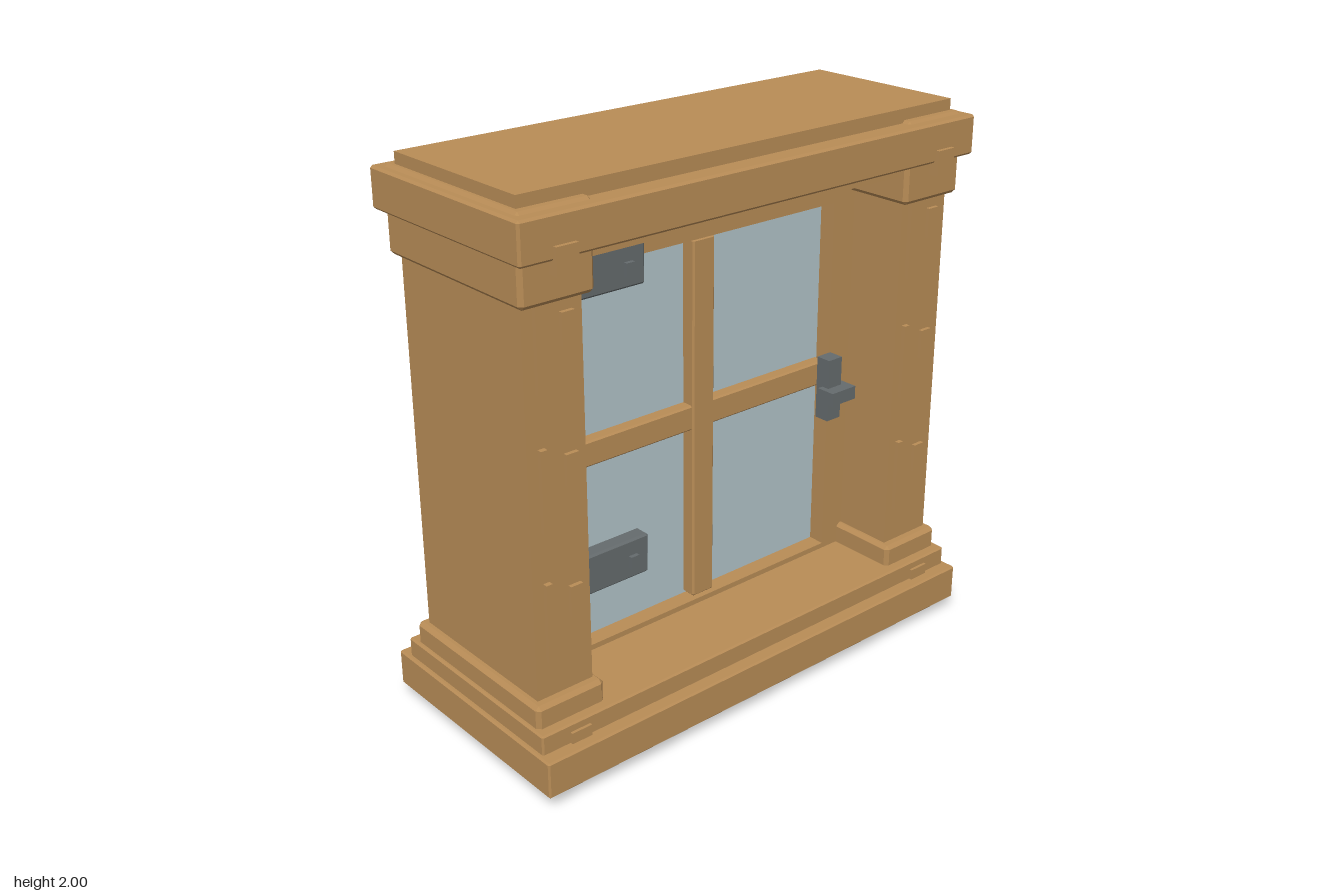
import * as THREE from 'three';
import { ConvexGeometry } from 'three/addons/geometries/ConvexGeometry.js';

// Box with chamfered edges, centred on its own origin
function chamferBox(w, h, d, c) {
  const pts = [];
  for (const x of [-1, 1]) for (const y of [-1, 1]) for (const z of [-1, 1]) {
    const [a, b, e] = [w / 2, h / 2, d / 2];
    pts.push(new THREE.Vector3(x * a, y * (b - c), z * (e - c)));
    pts.push(new THREE.Vector3(x * (a - c), y * b, z * (e - c)));
    pts.push(new THREE.Vector3(x * (a - c), y * (b - c), z * e));
  }
  return new ConvexGeometry(pts);
}

export function createModel() {
  const model = new THREE.Group();
  model.name = 'window';
  const wood = new THREE.MeshStandardMaterial({ name: 'wood', color: 0xb88c56 });
  const glass = new THREE.MeshStandardMaterial({ name: 'glass', color: 0xb2c4c9 });
  const iron = new THREE.MeshStandardMaterial({ name: 'iron', color: 0x656b6d });

  // Adds a box given its extents along each axis, optionally chamfered
  function block(name, material, [x0, x1], [y0, y1], [z0, z1], chamfer = 0) {
    const size = [x1 - x0, y1 - y0, z1 - z0];
    const geometry = chamfer ? chamferBox(...size, chamfer) : new THREE.BoxGeometry(...size);
    const mesh = new THREE.Mesh(geometry, material);
    mesh.name = name;
    mesh.position.set((x0 + x1) / 2, (y0 + y1) / 2, (z0 + z1) / 2);
    model.add(mesh);
  }
  const span = (half) => [-half, half];
  const sided = (s, a, b) => (s > 0 ? [a, b] : [-b, -a]);

  // Stepped sill
  block('bottomRail', wood, span(0.7), [0.008, 0.1], span(0.33), 0.008);
  block('plinth', wood, span(0.975), [0.045, 0.18], span(0.445), 0.006);
  block('sillStep', wood, span(0.96), [0.1, 0.25], span(0.395), 0.006);

  // Head beam and lintel
  block('headBeam', wood, span(0.92), [1.765, 2], span(0.32));
  block('lintel', wood, span(0.968), [1.81, 1.95], span(0.395), 0.008);

  // Posts with base, capital and pegs
  for (const s of [-1, 1]) {
    block('post', wood, sided(s, 0.7, 0.92), [0, 1.8], span(0.32));
    block('postBase', wood, sided(s, 0.677, 0.947), [0.034, 0.33], span(0.357), 0.014);
    block('capital', wood, sided(s, 0.672, 0.945), [1.667, 1.96], span(0.357), 0.014);
    block('lintelPeg', wood, sided(s, 0.77, 0.85), [1.765, 1.855], [0.37, 0.41]);
    block('sillPeg', wood, sided(s, 0.77, 0.85), [0.13, 0.22], [0.37, 0.406]);
    // Raised grain strips and pegs up the front
    const stripX = s > 0 ? 0.742 : -0.868;
    const pegX = s > 0 ? 0.85 : -0.76;
    for (let i = 0; i < 3; i++) {
      const y = 0.605 + i * 0.46;
      block('grainStrip', wood, [stripX - 0.012, stripX + 0.012], [y - 0.14, y + 0.14], [0.31, 0.338]);
      const py = 0.65 + i * 0.46;
      block('postPeg', wood, [pegX - 0.024, pegX + 0.024], [py - 0.054, py + 0.054], [0.31, 0.335]);
    }
  }

  // Sash frame
  const sashZ = span(0.09);
  for (const s of [-1, 1]) block('sashStile', wood, sided(s, 0.6, 0.71), [0.2, 1.733], sashZ);
  block('sashTopRail', wood, span(0.6), [1.635, 1.733], sashZ);
  block('sashBottomRail', wood, span(0.6), [0.2, 0.27], sashZ);

  // Glazing bars and pane
  block('verticalBar', wood, [-0.052, 0.045], [0.275, 1.63], span(0.078), 0.006);
  block('horizontalBar', wood, span(0.598), [0.937, 1.03], span(0.07), 0.006);
  block('pane', glass, span(0.605), [0.265, 1.64], span(0.025));

  // Hinges with rivets
  for (const y of [0.61, 1.648]) {
    block('hinge', iron, [-0.7, -0.345], [y - 0.073, y + 0.073], [0.125, 0.185], 0.007);
    for (const x of [-0.645, -0.415]) {
      block('rivet', iron, [x - 0.017, x + 0.017], [y - 0.03, y + 0.015], [0.17, 0.2]);
    }
  }

  // Latch
  block('latchPlate', iron, [0.54, 0.606], [0.825, 1.065], [0.09, 0.15]);
  block('latchHandle', iron, [0.518, 0.636], [0.905, 0.955], [0.12, 0.195]);
  return model;
}
